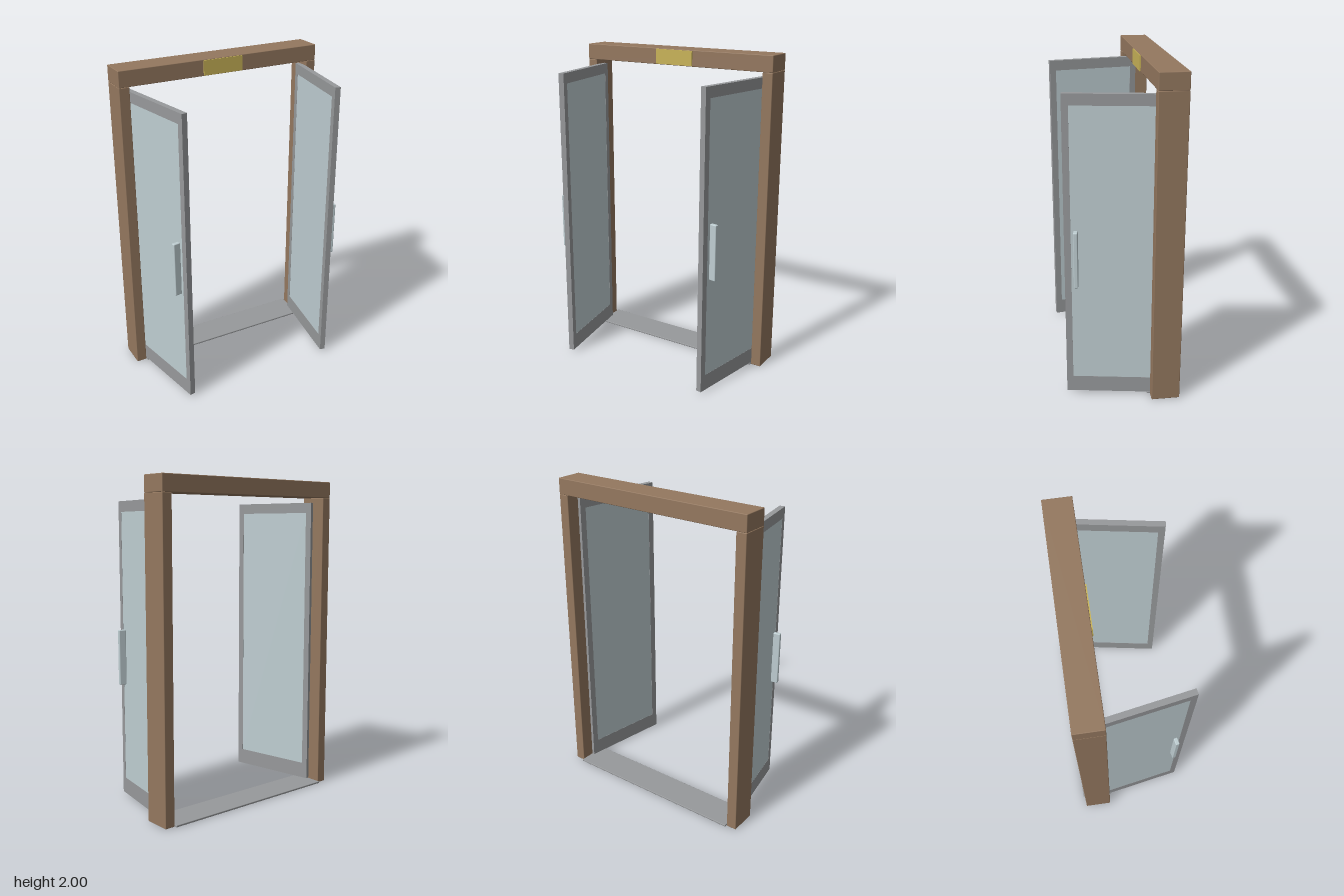
import * as THREE from 'three';
import { RoundedBoxGeometry } from 'three/addons/geometries/RoundedBoxGeometry.js';

const material = (name, color) => {
  const m = new THREE.MeshStandardMaterial({ color });
  m.name = name;
  return m;
};

// Box given by its min and max corners; a bevel softens the edges
function block(parent, name, mat, [x0, y0, z0], [x1, y1, z1], bevel = 0) {
  const size = [x1 - x0, y1 - y0, z1 - z0];
  const geometry = bevel
    ? new RoundedBoxGeometry(...size, 2, bevel)
    : new THREE.BoxGeometry(...size);
  const mesh = new THREE.Mesh(geometry, mat);
  mesh.name = name;
  mesh.position.set((x0 + x1) / 2, (y0 + y1) / 2, (z0 + z1) / 2);
  parent.add(mesh);
  return mesh;
}

export function createModel() {
  const wood = material('wood', 0x94785f);
  const metal = material('grey metal', 0x97999b);
  const pale = material('pale glass', 0xbfced2);
  const brass = material('yellow plate', 0xc9b458);

  const model = new THREE.Group();
  model.name = 'doubleDoor';
  const back = -0.331, front = -0.159;

  // Surround: header, name plate, sill
  block(model, 'header', wood, [-0.67, 1.9, back], [0.67, 2, front], 0.004);
  block(model, 'headerPlate', brass, [-0.13, 1.904, front - 0.001], [0.13, 1.996, front + 0.007]);
  block(model, 'sill', metal, [-0.603, 0, -0.347], [0.603, 0.012, -0.142], 0.003);

  // Door leaf measurements: half thickness, length from hinge, height
  const t = 0.0175, length = 0.593, y0 = 0.012, y1 = 1.87;
  const stile = 0.039, glassY0 = 0.114, glassY1 = 1.805;

  for (const side of [-1, 1]) {
    const label = side > 0 ? 'left' : 'right';
    const post = block(model, label + 'Post', wood, [-0.0325, 0, back], [0.0325, 1.9, front], 0.004);
    post.position.x = side * 0.6375;

    // Leaf runs along its own z from the hinge and swings open to the front
    const door = new THREE.Group();
    door.name = label + 'Door';
    door.position.set(side * 0.6, 0, -0.245);
    door.rotation.y = -side * THREE.MathUtils.degToRad(10);
    model.add(door);

    block(door, 'hingeStile', metal, [-t, y0, 0], [t, y1, stile]);
    block(door, 'freeStile', metal, [-t, y0, length - stile], [t, y1, length]);
    block(door, 'bottomRail', metal, [-t, y0, stile], [t, glassY0, length - stile]);
    block(door, 'topRail', metal, [-t, glassY1, stile], [t, y1, length - stile]);
    block(door, 'glass', pale, [-t + 0.001, glassY0, stile], [t - 0.001, glassY1, length - stile]);

    // Pull bar on the outer face
    const handle = block(door, 'handle', pale, [-0.0225, 0.735, 0.512], [0.0225, 1.08, 0.537], 0.005);
    handle.position.x = side * 0.039;
  }
  return model;
}
